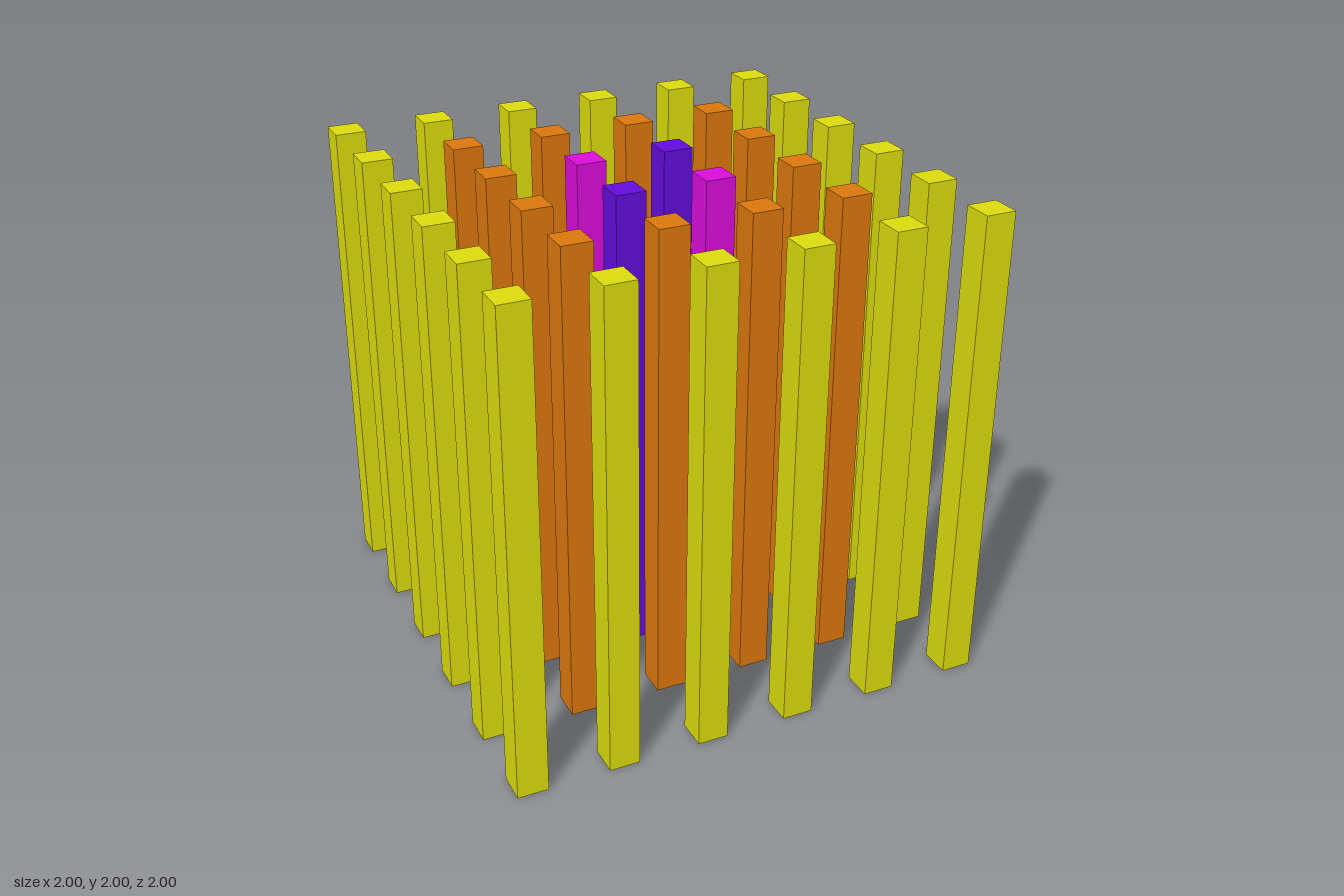
import * as THREE from 'three';

const COUNT = 6;        // posts per side
const WIDTH = 0.125;    // square section of a post
const PITCH = 0.375;    // distance between post centres
const HEIGHT = 2;

export function createModel() {
  const model = new THREE.Group();
  model.name = 'postGrid';

  const material = (color) => new THREE.MeshStandardMaterial({ color });
  const yellow = material(0xdddd0d);
  const orange = material(0xdd780d);
  const magenta = material(0xdd0ddd);
  const violet = material(0x640ddd);

  // One post shape, standing on the ground
  const post = new THREE.BoxGeometry(WIDTH, HEIGHT, WIDTH).translate(0, HEIGHT / 2, 0);

  // Concentric square rings: outer, middle and a chequered core
  const rings = ['outerPosts', 'middlePosts', 'corePosts'].map((name) => {
    const ring = new THREE.Group();
    ring.name = name;
    model.add(ring);
    return ring;
  });

  for (let row = 0; row < COUNT; row++) {
    for (let col = 0; col < COUNT; col++) {
      const depth = Math.min(row, col, COUNT - 1 - row, COUNT - 1 - col);
      const core = row === col ? magenta : violet;
      const mesh = new THREE.Mesh(post, [yellow, orange, core][depth]);
      mesh.name = ['outerPost', 'middlePost', 'corePost'][depth];
      mesh.position.set((col - (COUNT - 1) / 2) * PITCH, 0, (row - (COUNT - 1) / 2) * PITCH);
      rings[depth].add(mesh);
    }
  }
  return model;
}
